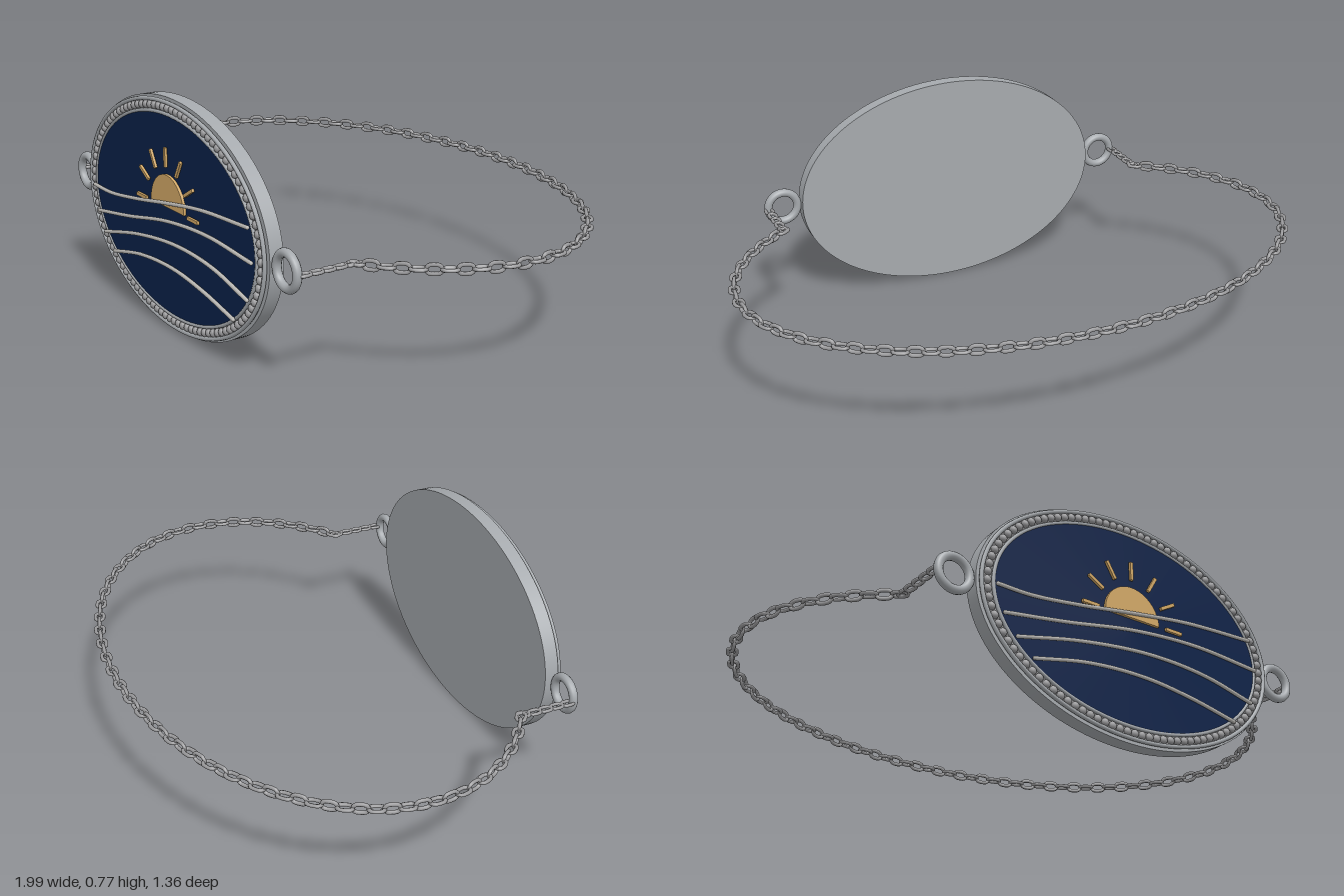
import * as THREE from 'three';

const mat = (name, color) => Object.assign(new THREE.MeshStandardMaterial({ color }), { name });
const CY = 0.392; // height of the medallion centre and the chain

export function createModel() {
  const silver = mat('silver', 0xa6aaae);
  const chainSilver = mat('chainSilver', 0x9c9c9e);
  const paleSilver = mat('paleSilver', 0xbcbab6);
  const enamel = mat('navyEnamel', 0x0b2148);
  const gold = mat('gold', 0xd2a866);

  const model = new THREE.Group();
  model.name = 'bracelet';
  const add = (parent, name, geometry, material, x = 0, y = 0, z = 0) => {
    const mesh = new THREE.Mesh(geometry, material);
    mesh.name = name;
    mesh.position.set(x, y, z);
    parent.add(mesh);
    return mesh;
  };
  const group = (name) => {
    const g = new THREE.Group();
    g.name = name;
    model.add(g);
    return g;
  };

  // Oval discs of the medallion, from z0 to z1
  const oval = (name, rx, ry, z0, z1, material) => {
    const geo = new THREE.CylinderGeometry(1, 1, z1 - z0, 128);
    geo.rotateX(Math.PI / 2).scale(rx, ry, 1);
    add(medallion, name, geo, material, 0, CY, (z0 + z1) / 2);
  };
  const medallion = group('medallion');
  oval('basePlate', 0.572, 0.386, 0.6, 0.648, silver);
  oval('rimFloor', 0.553, 0.367, 0.648, 0.654, chainSilver);
  oval('enamelFace', 0.515, 0.334, 0.654, 0.66, enamel);

  // Raised wires on both sides of the bead row
  const ovalCurve = (rx, ry) => {
    const pts = new THREE.EllipseCurve(0, 0, rx, ry).getPoints(64).slice(0, -1);
    return new THREE.CatmullRomCurve3(pts.map(p => new THREE.Vector3(p.x, p.y, 0)), true);
  };
  const rim = group('beadedRim');
  const wire = (name, rx, ry, r) =>
    add(rim, name, new THREE.TubeGeometry(ovalCurve(rx, ry), 128, r, 8, true), silver, 0, CY, 0.658);
  wire('outerWire', 0.559, 0.373, 0.007);
  wire('innerWire', 0.517, 0.335, 0.006);

  // Row of beads
  const beadGeo = new THREE.SphereGeometry(0.0135, 10, 8).scale(1, 1, 0.8);
  const beadPath = ovalCurve(0.538, 0.354);
  for (let i = 0; i < 100; i++) {
    const p = beadPath.getPointAt(i / 100);
    add(rim, 'bead', beadGeo, chainSilver, p.x, CY + p.y, 0.657);
  }

  // Half sun with seven rays
  const sun = group('sun');
  const halfDisc = new THREE.Shape().absarc(0, 0, 0.107, 0, Math.PI);
  add(sun, 'sunDisc', new THREE.ExtrudeGeometry(halfDisc,
    { depth: 0.009, bevelEnabled: false, curveSegments: 32 }), gold, 0, 0.425, 0.66);
  const rayGeo = new THREE.BoxGeometry(0.064, 0.011, 0.009);
  for (let i = 0; i <= 6; i++) {
    const a = i * Math.PI / 6;
    add(sun, 'sunRay', rayGeo, gold, Math.cos(a) * 0.165, 0.425 + Math.sin(a) * 0.165, 0.6695)
      .rotation.z = a;
  }

  // Wave lines
  const waves = group('waves');
  [
    [[-0.51, 0.38], [-0.39, 0.38], [-0.2, 0.405], [0, 0.44], [0.22, 0.473], [0.49, 0.49]],
    [[-0.485, 0.293], [-0.26, 0.33], [0, 0.38], [0.25, 0.4], [0.508, 0.386]],
    [[-0.44, 0.228], [-0.2, 0.283], [0.06, 0.314], [0.28, 0.305], [0.48, 0.262]],
    [[-0.38, 0.175], [-0.18, 0.217], [0.03, 0.229], [0.22, 0.21], [0.4, 0.175]],
  ].forEach(line => {
    const curve = new THREE.CatmullRomCurve3(line.map(([x, y]) => new THREE.Vector3(x, y, 0.672)));
    add(waves, 'waveLine', new THREE.TubeGeometry(curve, 48, 0.0065, 8), paleSilver);
    [line[0], line.at(-1)].forEach(([x, y]) =>
      add(waves, 'waveEnd', new THREE.SphereGeometry(0.0065, 8, 6), paleSilver, x, y, 0.672));
  });

  // Large side rings
  const ringGeo = new THREE.TorusGeometry(0.054, 0.0145, 12, 40);
  for (const s of [-1, 1]) add(model, s > 0 ? 'leftRing' : 'rightRing', ringGeo, silver, s * 0.637, CY, 0.632);

  // One oval chain link, long along x, lying in the xy plane
  const linkGeometry = (length, width, r) => {
    const h = width / 2 - r, k = length / 2 - r - h, pts = [];
    for (let i = 0; i < 12; i++) {
      const a = (i + 0.5) * Math.PI / 6;
      pts.push(new THREE.Vector3(Math.cos(a) * h + Math.sign(Math.cos(a)) * k, Math.sin(a) * h, 0));
    }
    return new THREE.TubeGeometry(new THREE.CatmullRomCurve3(pts, true), 24, r, 6, true);
  };
  const chain = group('chain');
  const placeLink = (geo, p, t, flat) => {
    const link = add(chain, 'chainLink', geo, chainSilver, p.x, CY, p.z);
    link.rotation.set(flat ? Math.PI / 2 : 0, Math.atan2(-t.z, t.x), 0, 'YXZ');
  };

  // Main loop around the back, alternating flat and upright links
  const loop = [];
  for (let i = 0; i <= 60; i++) {
    const a = THREE.MathUtils.lerp(-0.775, Math.PI + 0.775, i / 60);
    loop.push(new THREE.Vector3(Math.cos(a) * 0.977, 0, -0.018 - Math.sin(a) * 0.645));
  }
  const loopCurve = new THREE.CatmullRomCurve3(loop);
  loopCurve.arcLengthDivisions = 600;
  const linkGeo = linkGeometry(0.06, 0.04, 0.0065);
  const count = 2 * Math.round(loopCurve.getLength() / 0.092);
  for (let i = 0; i <= count; i++) {
    const u = i / count;
    placeLink(linkGeo, loopCurve.getPointAt(u), loopCurve.getTangentAt(u), i % 2 === 0);
  }

  // Short straight runs of flat links to the side rings
  const shortLink = linkGeometry(0.052, 0.035, 0.006);
  const forward = new THREE.Vector3(0, 0, 1);
  for (const s of [-1, 1]) {
    for (let i = 0; i < 5; i++) {
      placeLink(shortLink, new THREE.Vector3(s * 0.693, 0, 0.445 + i * 0.041), forward, true);
    }
  }
  return model;
}
